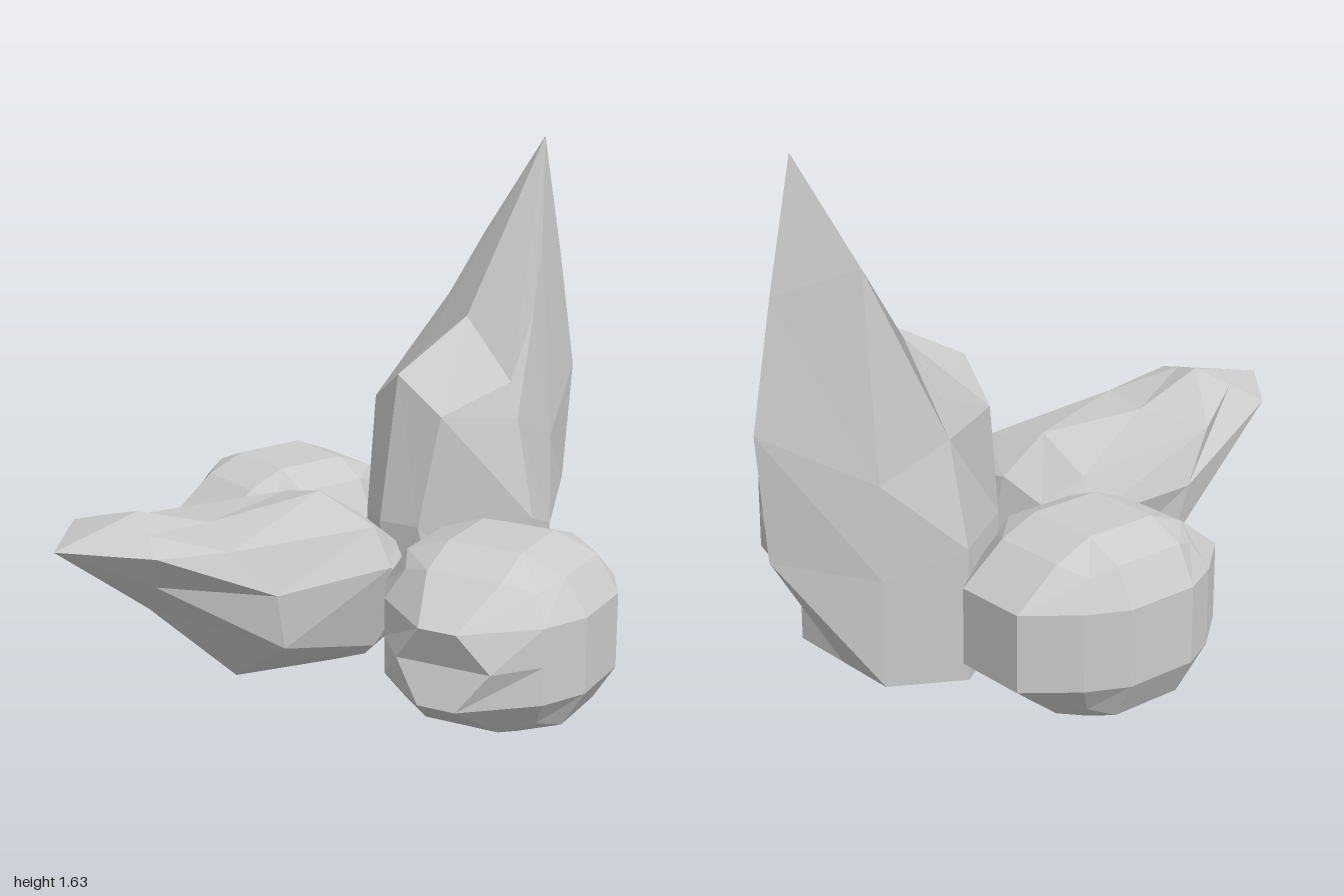
import * as THREE from 'three';

const material = new THREE.MeshStandardMaterial({ color: 0xcccccc, flatShading: true, side: THREE.DoubleSide });

function addMesh(group, name, geometry) {
  geometry.computeVertexNormals();
  const mesh = new THREE.Mesh(geometry, material);
  mesh.name = name;
  group.add(mesh);
  return mesh;
}

// Chamfered boulder: a gridded box whose edges and corners are drawn inwards.
// sizes: half extents of face, edge and corner vertices; pointed: ends bulge into a hexagon
function boulder(face, edge, corner, pointed) {
  const geo = new THREE.BoxGeometry(2, 2, 2, 3, 4, 3);
  const p = geo.attributes.position;
  for (let i = 0; i < p.count; i++) {
    const v = [p.getX(i), p.getY(i), p.getZ(i)];
    const outer = v.map((c) => Math.abs(c) > 0.9);
    const count = outer.filter(Boolean).length;
    const size = [face, edge, corner][count - 1];
    const q = v.map((c, k) => (outer[k] ? Math.sign(c) * size[k] : Math.abs(c) < 0.1 ? 0 : Math.sign(c) * 0.118));
    if (pointed && count === 1 && outer[0]) {
      const middle = q[1] === 0;
      q[0] = Math.sign(q[0]) * (middle ? 0.39 : 0.43);
      q[2] = Math.sign(q[2]) * (middle ? 0.15 : 0.06);
    }
    p.setXYZ(i, ...q);
  }
  return geo;
}

// Skin over mirrored half rings of [x, y, half width]; a one-point ring is a tip or cap centre
function loft(halfRings) {
  const rings = halfRings.map((half) => {
    if (half.length === 1) return Array(8).fill(half[0]);
    return [...half, ...half.slice(1, -1).reverse().map(([x, y, z]) => [x, y, -z])];
  });
  const out = [];
  for (let r = 0; r < rings.length - 1; r++) {
    for (let i = 0; i < 8; i++) {
      const j = (i + 1) % 8;
      const a = rings[r][i], b = rings[r][j], c = rings[r + 1][j], d = rings[r + 1][i];
      if (c !== d) out.push(...a, ...d, ...c);
      if (a !== b) out.push(...a, ...c, ...b);
    }
  }
  const geo = new THREE.BufferGeometry();
  geo.setAttribute('position', new THREE.Float32BufferAttribute(out, 3));
  return geo;
}

export function createModel() {
  const group = new THREE.Group();
  group.name = 'rockCluster';

  // Two rounded boulders, front and back
  const back = addMesh(group, 'backBoulder',
    boulder([0.385, 0.28, 0.295], [0.24, 0.23, 0.235], [0.195, 0.2, 0.2], false));
  back.position.set(0.185, 0.28, -0.565);

  const front = addMesh(group, 'frontBoulder',
    boulder([0.42, 0.28, 0.328], [0.26, 0.23, 0.257], [0.21, 0.2, 0.215], true));
  front.position.set(0.2, 0.28, 0.5);
  front.rotation.y = THREE.MathUtils.degToRad(23.8);

  // Tall spire, rings from the base up to the tip
  const spire = addMesh(group, 'tallSpire', loft([
    [[0.5, 0.07, 0]],
    [[0.72, 0.07, 0], [0.72, 0.07, 0.21], [0.52, 0.08, 0.345], [0.28, 0.08, 0.19], [0.2, 0.08, 0]],
    [[0.965, 0.46, 0], [0.72, 0.4, 0.21], [0.52, 0.49, 0.345], [0.23, 0.46, 0.13], [0.18, 0.46, 0]],
    [[1, 0.85, 0], [0.72, 0.69, 0.2], [0.52, 0.8, 0.265], [0.29, 0.82, 0.165], [0.25, 0.93, 0]],
    [[0.93, 1.24, 0], [0.72, 1.31, 0.14], [0.63, 1.11, 0.205], [0.52, 0.91, 0.23], [0.53, 1.08, 0]],
    [[0.85, 1.63, 0]],
  ]));
  spire.position.z = -0.065;

  // Low leaning shard, rings from the inner end out to the tip
  const shard = addMesh(group, 'leaningShard', loft([
    [[0.17, 0.28, 0]],
    [[0.1, 0.5, 0], [0.1, 0.46, 0.18], [0.1, 0.33, 0.275], [0.13, 0.15, 0.14], [0.12, 0.02, 0]],
    [[-0.06, 0.605, 0], [-0.02, 0.54, 0.23], [0, 0.42, 0.285], [0, 0.14, 0.2], [0, 0.03, 0]],
    [[-0.47, 0.585, 0], [-0.55, 0.57, 0.23], [-0.42, 0.42, 0.28], [-0.38, 0.24, 0.26], [-0.38, 0.07, 0]],
    [[-0.72, 0.67, 0], [-0.76, 0.635, 0.12], [-0.8, 0.6, 0.23], [-0.75, 0.48, 0.14], [-0.69, 0.36, 0]],
    [[-1, 0.6, 0]],
  ]));
  shard.position.z = -0.065;

  return group;
}
